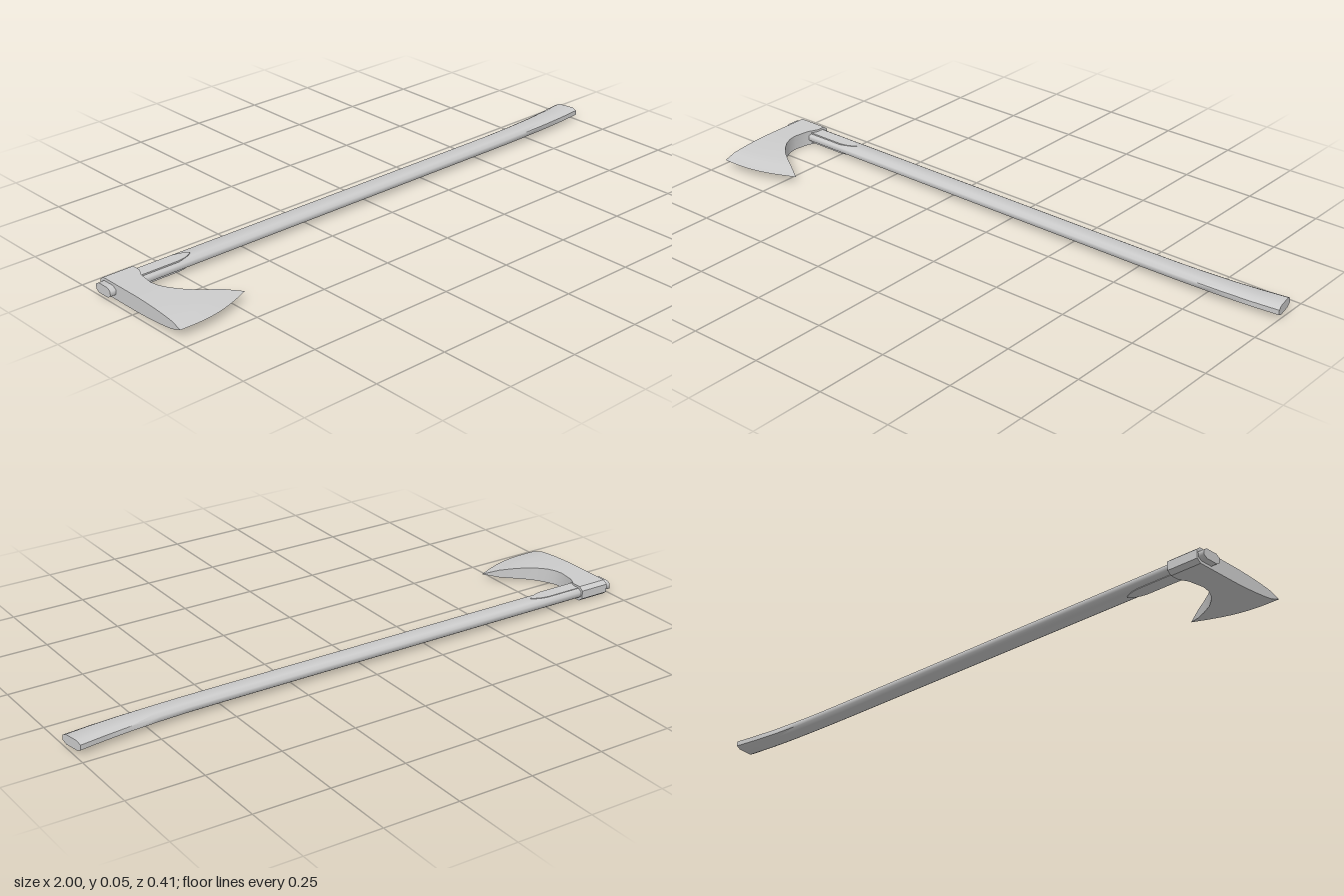
import * as THREE from 'three';
import { toCreasedNormals } from 'three/addons/utils/BufferGeometryUtils.js';

const MID = 0.025; // height of the symmetry plane

// Skin a list of equal-length rings, closing the first and last with fans
function loft(rings, crease) {
  const n = rings[0].length;
  const index = [];
  rings.slice(1).forEach((_, i) => {
    for (let j = 0; j < n; j++) {
      const k = (j + 1) % n;
      const a = i * n + j, b = i * n + k, c = b + n, d = a + n;
      index.push(a, d, c, a, c, b);
    }
  });
  const last = (rings.length - 1) * n;
  for (let j = 1; j < n - 1; j++) {
    index.push(0, j, j + 1, last, last + j + 1, last + j);
  }
  const geometry = new THREE.BufferGeometry();
  geometry.setAttribute('position', new THREE.Float32BufferAttribute(rings.flat(2), 3));
  geometry.setIndex(index);
  return toCreasedNormals(geometry, crease);
}

// Long shaft: a flattened octagon swept along x, curving back at the grip
function handleGeometry() {
  const octagon = [
    [0.022, 0.016], [-0.022, 0.016], [-0.035, 0.008], [-0.035, -0.008],
    [-0.022, -0.016], [0.022, -0.016], [0.035, -0.008], [0.035, 0.008],
  ];
  // x, z, width scale, tilt
  const stations = [
    [-1, -0.141, 1, 0], [0.5, -0.141, 1, 0], [0.62, -0.142, 1.01, 0.02], [0.72, -0.145, 1.04, 0.06],
    [0.82, -0.15, 1.09, 0.1], [0.91, -0.158, 1.15, 0.15], [0.9925, -0.168, 1.2, 0.18],
  ];
  return loft(stations.map(([x, z, s, tilt]) =>
    octagon.map(([dz, dy]) => [x + tilt * dz * s, MID + dy, z + dz * s])), 1.05);
}

// Bearded head: cross rows running from the poll to the cutting edge
function headGeometry() {
  // left z, right x, right z, half thickness, outward bulge
  const rows = [
    [-0.182, -0.875, -0.182, 0.014, 0], [-0.167, -0.875, -0.167, 0.025, 0],
    [-0.135, -0.875, -0.135, 0.025, 0], [-0.105, -0.89, -0.105, 0.025, 0],
    [-0.05, -0.898, -0.05, 0.025, 0], [-0.02, -0.893, -0.02, 0.025, 0],
    [0.01, -0.88, 0.008, 0.0248, 0], [0.05, -0.86, 0.035, 0.023, 0.004],
    [0.085, -0.832, 0.062, 0.021, 0.008], [0.125, -0.795, 0.087, 0.0175, 0.012],
    [0.16, -0.755, 0.111, 0.013, 0.016], [0.2, -0.705, 0.14, 0, 0.021],
  ];
  const steps = 12;
  return loft(rows.map(([zLeft, xRight, zRight, half, bulge]) => {
    const row = Array.from({ length: steps + 1 }, (_, i) => {
      const t = i / steps;
      return [
        THREE.MathUtils.lerp(-0.98, xRight, t),
        MID + half,
        THREE.MathUtils.lerp(zLeft, zRight, t) + bulge * Math.sin(Math.PI * t),
      ];
    });
    const under = row.map(([x, , z]) => [x, MID - half, z]).reverse();
    return [...row, ...under];
  }), 0.5);
}

// Pointed reinforcing strip along the shaft, standing proud of both faces
function langetGeometry() {
  const shape = new THREE.Shape();
  shape.moveTo(-0.9, -0.16);
  shape.lineTo(-0.75, -0.16);
  shape.quadraticCurveTo(-0.71, -0.157, -0.69, -0.138);
  shape.quadraticCurveTo(-0.71, -0.119, -0.75, -0.115);
  shape.lineTo(-0.9, -0.115);
  const geometry = new THREE.ExtrudeGeometry(shape, { depth: 0.036, bevelEnabled: false });
  geometry.rotateX(Math.PI / 2);
  geometry.translate(0, MID + 0.018, 0);
  return geometry;
}

export function createModel() {
  const group = new THREE.Group();
  group.name = 'axe';
  const material = new THREE.MeshStandardMaterial({ color: 0xcccccc });
  const parts = { handle: handleGeometry(), axeHead: headGeometry(), langet: langetGeometry() };
  for (const [name, geometry] of Object.entries(parts)) {
    const mesh = new THREE.Mesh(geometry, material);
    mesh.name = name;
    group.add(mesh);
  }
  return group;
}
